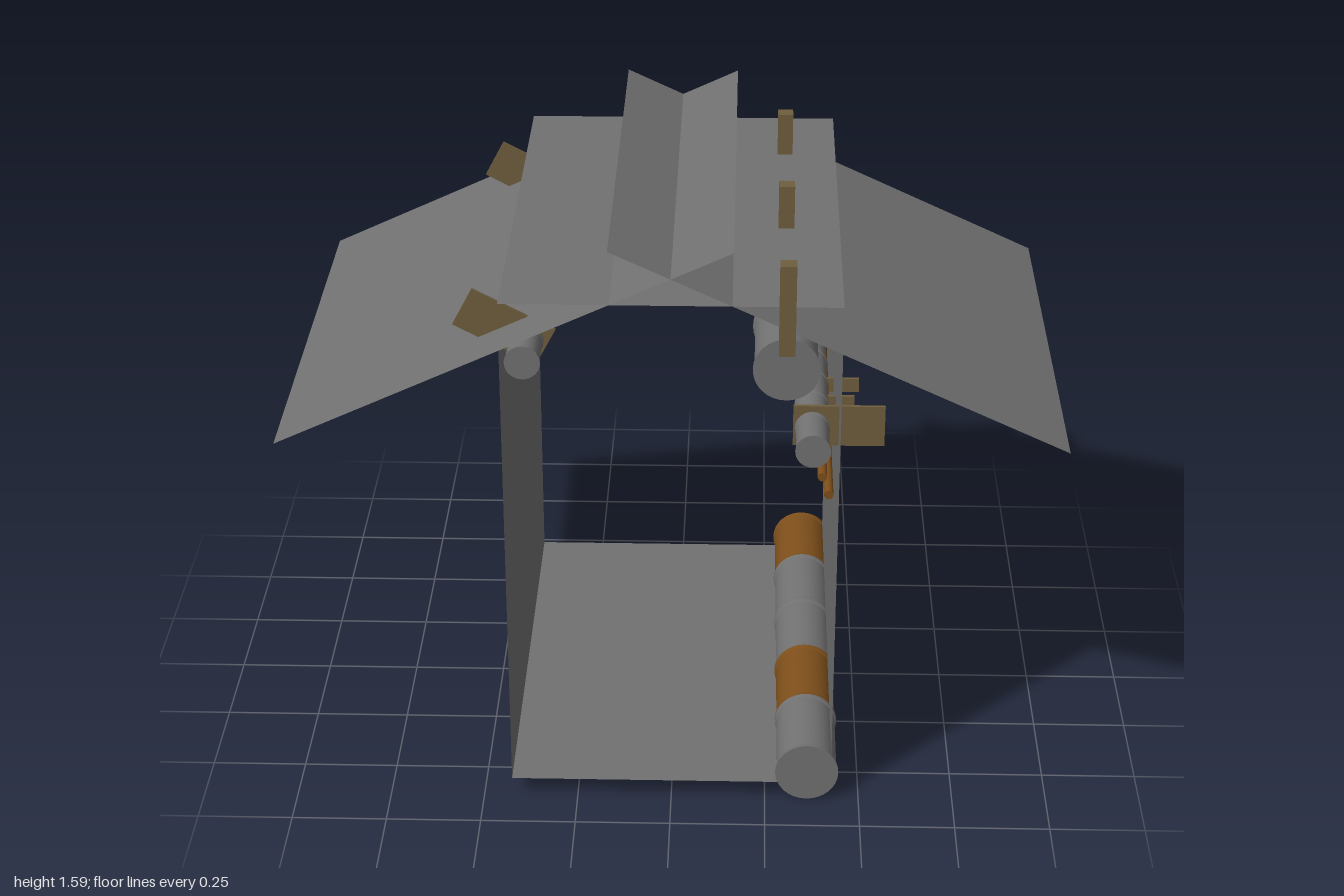
import * as THREE from 'three';

export function createModel() {
  const group = new THREE.Group();
  const mat = (name, color, side = THREE.FrontSide) => {
    const m = new THREE.MeshStandardMaterial({ color, side });
    m.name = name;
    return m;
  };
  const sheet = mat('sheetGray', 0x717171, THREE.DoubleSide);
  const steel = mat('pipeGray', 0x727272);
  const rust = mat('rustBrown', 0x7e4f1b);
  const wood = mat('bracketBrown', 0x705f3f);

  const Z0 = -0.644, Z1 = 0.627;
  const add = (name, geometry, material, parent = group) => {
    const mesh = new THREE.Mesh(geometry, material);
    mesh.name = name;
    parent.add(mesh);
    return mesh;
  };

  // Thin sheet running the full depth between two points of the front outline
  const panel = (name, [xa, ya], [xb, yb]) => {
    const geo = new THREE.PlaneGeometry(Math.hypot(xb - xa, yb - ya), Z1 - Z0);
    geo.rotateX(-Math.PI / 2);
    geo.rotateZ(Math.atan2(yb - ya, xb - xa));
    add(name, geo, sheet).position.set((xa + xb) / 2, (ya + yb) / 2, (Z0 + Z1) / 2);
  };

  // Floor, side walls, flat ceiling, and two roof sheets crossing above the middle
  panel('floor', [-0.425, 0.053], [0.425, 0.053]);
  panel('leftWall', [0.425, 1.32], [0.425, 0.053]);
  panel('rightWall', [-0.425, 0.053], [-0.425, 1.32]);
  panel('ceiling', [-0.425, 1.448], [0.425, 1.448]);
  panel('rightRoof', [-1, 1.054], [0.154, 1.59]);
  panel('leftRoof', [-0.154, 1.59], [1, 1.054]);

  // Pipe of flanged sections; pattern lists them front to back, R = rust, G = gray
  const pipe = (name, x, y, r, pattern) => {
    const run = new THREE.Group();
    run.name = name;
    const len = (Z1 - Z0) / pattern.length, h = len / 2;
    const rim = r * 0.16, body = r * 0.945;
    const half = [[0, h], [r, h], [r, h - rim * 0.4], [r * 0.985, h - rim * 0.8], [body, h - rim]];
    const points = [...half, ...half.map(([a, b]) => [a, -b]).reverse()]
      .reverse().map(([a, b]) => new THREE.Vector2(a, b));
    // Split the profile so the caps, rims and body keep crisp edges
    [...pattern].forEach((key, i) => {
      const section = new THREE.Group();
      section.name = 'pipeSection';
      const material = key === 'R' ? rust : steel;
      for (let k = 0; k < points.length - 1; k++) {
        const geo = new THREE.LatheGeometry([points[k], points[k + 1]], 32);
        geo.rotateX(Math.PI / 2);
        add('pipeSurface', geo, material, section);
      }
      section.position.z = Z1 - len * (i + 0.5);
      run.add(section);
    });
    run.position.set(x, y, 0);
    group.add(run);
  };
  pipe('groundPipe', 0.361, 0.085, 0.084, 'GRGGR');
  pipe('upperPipe', 0.287, 1.277, 0.084, 'GGGGG');
  pipe('leftMiddlePipe', 0.357, 1.05, 0.045, 'GGGGGGGGGG');
  pipe('rightPipe', -0.368, 1.288, 0.045, 'GGRGRRGGRR');

  // Thin conduits
  for (const [x, y] of [[0.382, 0.978], [0.399, 0.927]]) {
    const geo = new THREE.CylinderGeometry(0.012, 0.012, Z1 - Z0, 16);
    geo.rotateX(Math.PI / 2);
    add('conduit', geo, rust).position.set(x, y, (Z0 + Z1) / 2);
  }

  // Bracket plates through the walls
  const plate = (name, x, y, z, w, h, angle = 0) => {
    const mesh = add(name, new THREE.BoxGeometry(w, h, 0.009), wood);
    mesh.position.set(x, y, z);
    mesh.rotation.z = angle;
  };
  for (const z of [0.485, -0.503]) {
    plate('leftPipeBracket', 0.425, 1.052, z, 0.234, 0.112);
    plate('rightPipeBracket', -0.423, 1.32, z, 0.235, 0.11, -0.486);
  }
  for (const z of [0.205, -0.433]) plate('conduitBracket', 0.421, 0.976, z, 0.107, 0.04);
  plate('lowerConduitBracket', 0.441, 0.924, -0.005, 0.107, 0.04);

  // Hangers that carry the upper pipe through the ceiling and roof
  for (const z of [0.625, 0.122, -0.39]) {
    add('pipeHanger', new THREE.BoxGeometry(0.041, 0.242, 0.041), wood).position.set(0.287, 1.443, z);
  }
  return group;
}
